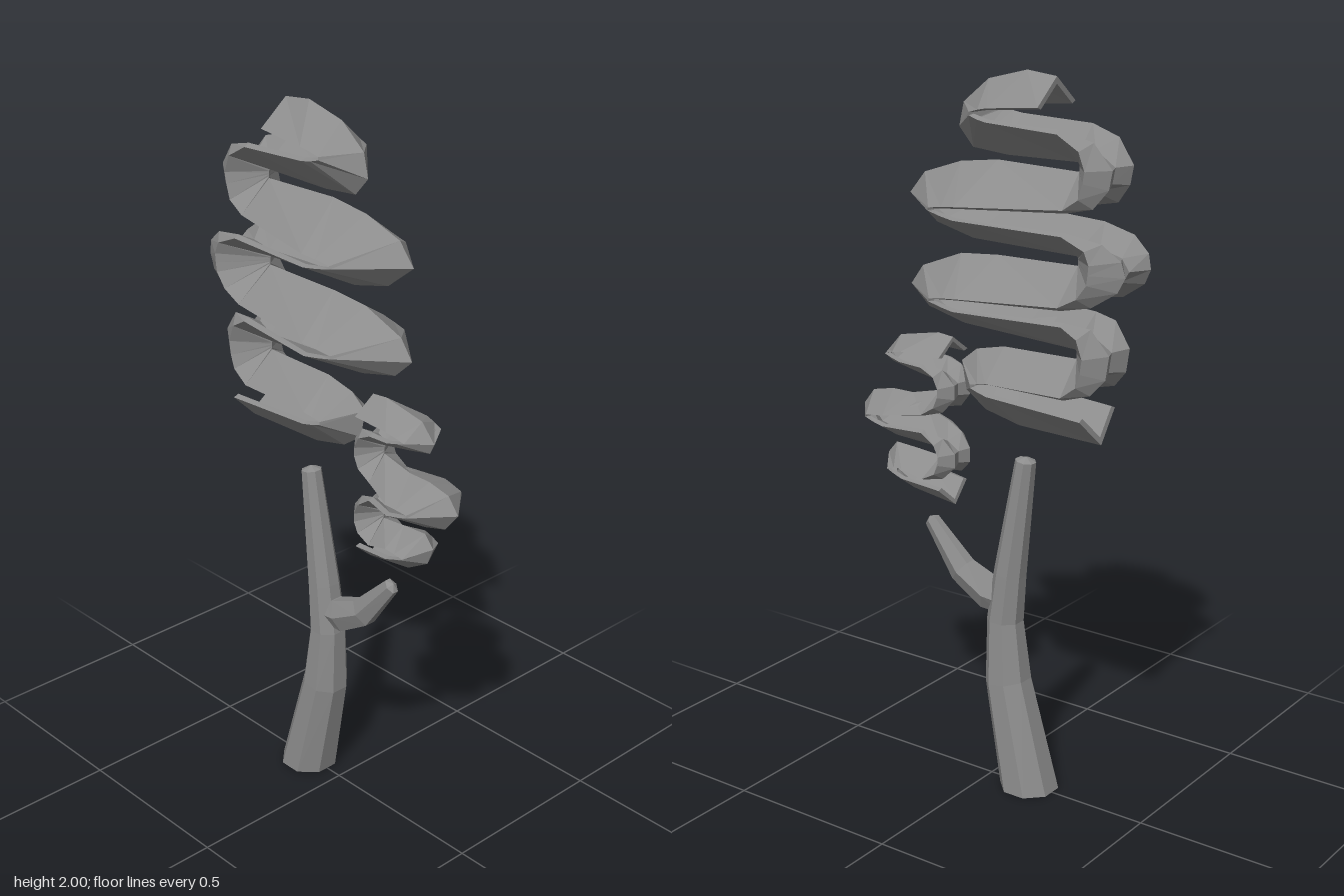
import * as THREE from 'three';

const material = new THREE.MeshStandardMaterial({ color: 0x8c8c8c, flatShading: true, side: THREE.DoubleSide });

// Skin a list of closed rings; an end is closed with a fan where a cap point is given.
function loft(name, rings, capStart, capEnd) {
  const pos = [];
  const tri = (...pts) => pts.forEach((p) => pos.push(p.x, p.y, p.z));
  const n = rings[0].length;
  for (let i = 0; i < rings.length - 1; i++) {
    for (let j = 0; j < n; j++) {
      const k = (j + 1) % n;
      const [a, b, c, d] = [rings[i][j], rings[i][k], rings[i + 1][k], rings[i + 1][j]];
      tri(a, b, c);
      tri(a, c, d);
    }
  }
  const last = rings[rings.length - 1];
  for (let j = 0; j < n; j++) {
    const k = (j + 1) % n;
    if (capStart) tri(capStart, rings[0][k], rings[0][j]);
    tri(capEnd, last[j], last[k]);
  }
  const geometry = new THREE.BufferGeometry();
  geometry.setAttribute('position', new THREE.Float32BufferAttribute(pos, 3));
  geometry.computeVertexNormals();
  const mesh = new THREE.Mesh(geometry, material);
  mesh.name = name;
  return mesh;
}

// Tapered faceted limb, open at its root; points are [x, y, radius], depth scales z.
function limb(name, points, sides, depth, levelBase) {
  const centres = points.map(([x, y]) => new THREE.Vector3(x, y, 0));
  let tangent;
  const rings = points.map(([, , r], i) => {
    const before = centres[Math.max(i - 1, 0)];
    const after = centres[Math.min(i + 1, centres.length - 1)];
    tangent = after.clone().sub(before).normalize();
    if (i === 0 && levelBase) tangent.set(0, 1, 0);
    const across = new THREE.Vector3(-tangent.y, tangent.x, 0);
    return Array.from({ length: sides }, (_, j) => {
      const a = ((j + 0.5) / sides) * Math.PI * 2;
      const p = centres[i].clone().addScaledVector(across, r * Math.cos(a));
      p.z = r * depth * Math.sin(a);
      return p;
    });
  });
  const tip = centres[centres.length - 1].clone().addScaledVector(tangent, 0.012);
  return loft(name, rings, null, tip);
}

// Ribbon stations: ridge and rim points, half widths of shoulder and rim,
// and how far from ridge to rim the shoulder and the valley floor lie.
const end = (ridge, rim, w) => [{ ridge, rim, w, rimW: w - 0.015, shoulder: 0.92, valley: 0.25 }];
// Right-hand turn: the ridge sweeps round while the rim folds at a slit.
const lobe = (w, slit, ridges) => ridges.map((ridge, i) => {
  const side = 1 - (2 * i) / (ridges.length - 1);
  const width = w * (0.9 + 0.1 * Math.abs(side));
  return {
    ridge, w: width, rimW: width - 0.015, shoulder: 0.94, valley: 0.25,
    rim: [slit[0] - 0.7 * w * Math.abs(side), slit[1] + 0.012 * side],
  };
});
// Left-hand turn: the rim sweeps round, the ridge folds inside and the valley fills up.
const bend = (w, ridge, rims) => rims.map((rim, i) => {
  const t = i / (rims.length - 1);
  const bulge = Math.sin(t * Math.PI);
  return {
    ridge: [ridge[0], ridge[1] + 0.012 * (1 - 2 * t)],
    rim, w, rimW: w - 0.015 - 0.3 * w * bulge,
    shoulder: 0.9 - 0.35 * bulge, valley: 0.25 + 0.6 * bulge,
  };
});

// Folded ribbon with a chevron section: ridge, shoulders, rims and a hollow valley.
function ribbon(name, stations) {
  const rings = stations.map(({ ridge, rim, w, rimW, shoulder, valley }) => {
    const at = (t, z) => new THREE.Vector3(
      THREE.MathUtils.lerp(ridge[0], rim[0], t), THREE.MathUtils.lerp(ridge[1], rim[1], t), z);
    return [at(0, 0), at(shoulder, w), at(1, rimW), at(valley, 0), at(1, -rimW), at(shoulder, -w)];
  });
  return loft(name, rings, rings[0][3], rings[rings.length - 1][3]);
}

export function createModel() {
  const group = new THREE.Group();
  group.name = 'tree';

  group.add(limb('trunk', [
    [-0.13, 0, 0.084], [-0.057, 0.31, 0.066], [-0.046, 0.49, 0.052],
    [-0.062, 0.63, 0.046], [-0.112, 0.965, 0.029],
  ], 8, 1, true));
  group.add(limb('branch', [
    [-0.04, 0.548, 0.045], [0.01, 0.555, 0.052], [0.1, 0.602, 0.044], [0.208, 0.728, 0.024],
  ], 6, 0.75, false));

  // Main crown, from the top down
  group.add(ribbon('mainFoliage', [
    ...end([-0.2, 1.99], [-0.2, 1.915], 0.085),
    ...lobe(0.09, [0.02, 1.89], [
      [-0.11, 2], [0.01, 1.97], [0.09, 1.905], [0.105, 1.84], [0.06, 1.79], [-0.05, 1.78]]),
    ...bend(0.09, [-0.27, 1.77], [
      [-0.26, 1.87], [-0.35, 1.845], [-0.4, 1.78], [-0.39, 1.73], [-0.35, 1.68], [-0.28, 1.665]]),
    ...lobe(0.145, [0.12, 1.64], [
      [-0.02, 1.765], [0.1, 1.75], [0.22, 1.71], [0.27, 1.65], [0.18, 1.58], [0.06, 1.55]]),
    ...bend(0.108, [-0.27, 1.53], [
      [-0.29, 1.62], [-0.39, 1.6], [-0.44, 1.56], [-0.45, 1.52], [-0.43, 1.48], [-0.36, 1.435], [-0.28, 1.42]]),
    ...lobe(0.145, [0.12, 1.4], [
      [-0.02, 1.515], [0.1, 1.505], [0.23, 1.455], [0.27, 1.4], [0.21, 1.345], [0.09, 1.315]]),
    ...bend(0.09, [-0.27, 1.285], [
      [-0.28, 1.385], [-0.35, 1.375], [-0.4, 1.31], [-0.39, 1.245], [-0.35, 1.2], [-0.28, 1.18]]),
    ...lobe(0.09, [0.02, 1.17], [
      [-0.04, 1.27], [0.05, 1.25], [0.1, 1.21], [0.085, 1.13], [0.02, 1.085], [-0.09, 1.06]]),
    ...end([-0.35, 1.053], [-0.335, 1.14], 0.085),
  ]));

  // Small crown above the branch
  group.add(ribbon('sideFoliage', [
    ...end([0.13, 1.27], [0.13, 1.22], 0.065),
    ...lobe(0.075, [0.31, 1.21], [
      [0.18, 1.275], [0.31, 1.25], [0.355, 1.2], [0.34, 1.17], [0.27, 1.155]]),
    ...bend(0.07, [0.175, 1.125], [
      [0.19, 1.195], [0.135, 1.185], [0.1, 1.145], [0.1, 1.105], [0.135, 1.065], [0.19, 1.05]]),
    ...lobe(0.11, [0.37, 1.03], [
      [0.27, 1.09], [0.34, 1.09], [0.41, 1.075], [0.445, 1.03], [0.4, 0.975], [0.33, 0.955]]),
    ...bend(0.07, [0.175, 0.935], [
      [0.19, 1.01], [0.135, 0.99], [0.1, 0.95], [0.1, 0.91], [0.135, 0.875], [0.19, 0.865]]),
    ...lobe(0.075, [0.31, 0.875], [
      [0.25, 0.93], [0.33, 0.935], [0.36, 0.9], [0.34, 0.85], [0.27, 0.81]]),
    ...end([0.125, 0.79], [0.135, 0.85], 0.065),
  ]));

  return group;
}
